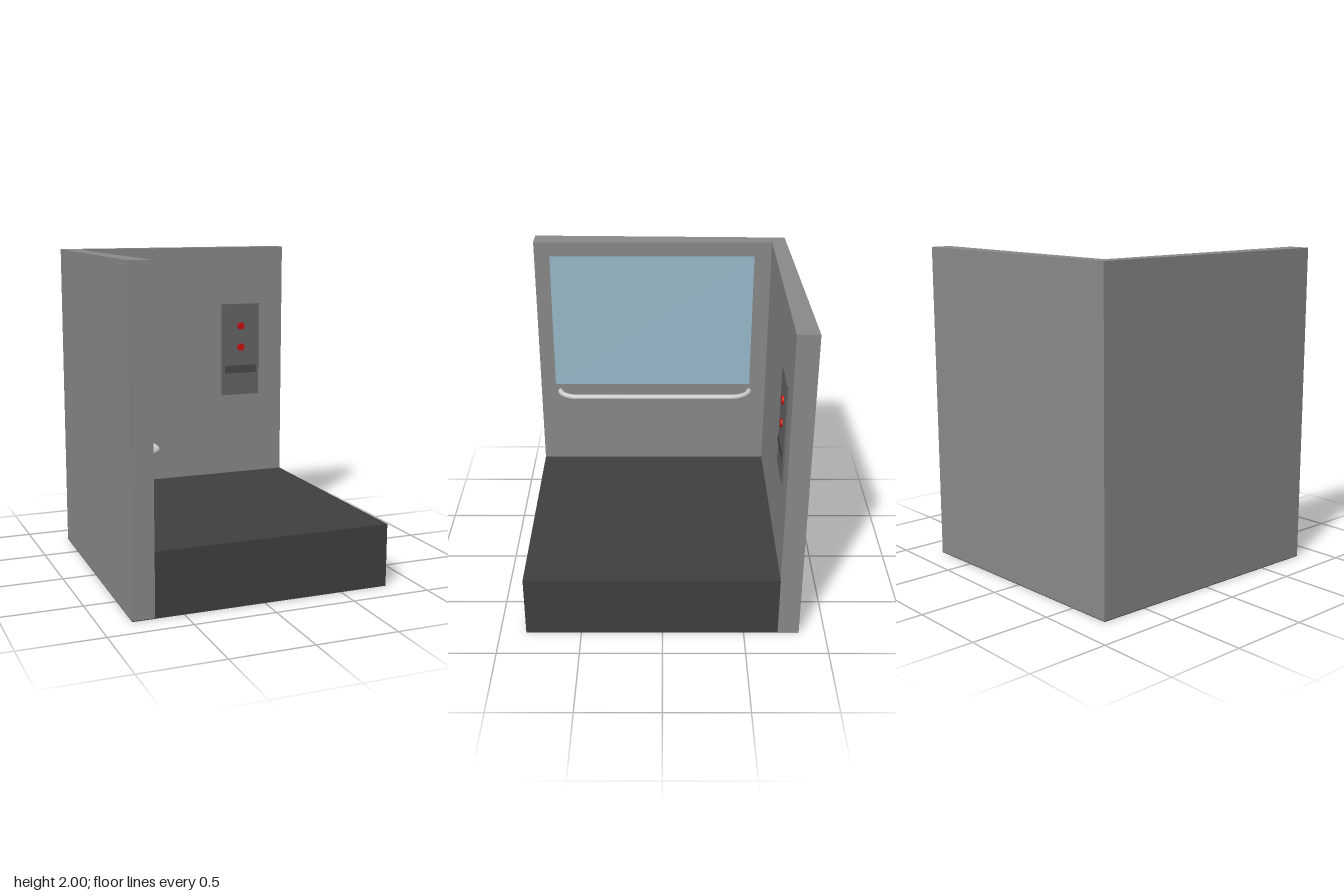
import * as THREE from 'three';

const material = (color) => new THREE.MeshStandardMaterial({ color });

export function createModel() {
  const model = new THREE.Group();
  const add = (name, geometry, color, x = 0, y = 0, z = 0) => {
    const mesh = new THREE.Mesh(geometry, material(color));
    mesh.name = name;
    mesh.position.set(x, y, z);
    model.add(mesh);
    return mesh;
  };

  // Extrude a floor plan of [x, z] points upwards
  const plan = (points, height) => {
    const shape = new THREE.Shape(points.map(([x, z]) => new THREE.Vector2(x, -z)));
    return new THREE.ExtrudeGeometry(shape, { depth: height, bevelEnabled: false }).rotateX(-Math.PI / 2);
  };

  // Two walls meeting in a corner, with slightly slanted outer faces
  const outer = [[-0.81, 0.84], [-0.77, -0.8], [0.805, -0.84]];
  add('walls', plan([...outer, [0.805, -0.71], [-0.675, -0.71], [-0.675, 0.84]], 1.996), 0x8a8a8a, 0, 0.004);

  // Thick floor block and the base plate under floor and walls
  add('floor', new THREE.BoxGeometry(1.48, 0.388, 1.55), 0x404040, 0.065, 0.198, 0.065);
  add('basePlate', plan([...outer, [0.805, 0.84]], 0.004), 0x404040);

  // Window pane on the side wall
  add('window', new THREE.BoxGeometry(0.004, 0.93, 1.34), 0x99bbcc, -0.674, 1.44, 0.07);

  // Handrail: a straight bar with ends curving into the wall
  const rail = new THREE.CurvePath();
  const v = (x, z) => new THREE.Vector3(x, 0.922, z);
  const wallX = -0.685, barX = -0.577;
  rail.add(new THREE.CubicBezierCurve3(v(wallX, -0.6), v(-0.625, -0.6), v(barX, -0.54), v(barX, -0.47)));
  rail.add(new THREE.LineCurve3(v(barX, -0.47), v(barX, 0.58)));
  rail.add(new THREE.CubicBezierCurve3(v(barX, 0.58), v(barX, 0.65), v(-0.625, 0.71), v(wallX, 0.71)));
  add('handrail', new THREE.TubeGeometry(rail, 96, 0.018, 16), 0xcccccc);

  // Control panel on the back wall
  add('controlPanel', new THREE.BoxGeometry(0.28, 0.645, 0.012), 0x666666, 0.485, 1.283, -0.706);
  for (const y of [1.45, 1.3]) {
    const button = new THREE.CylinderGeometry(0.026, 0.026, 0.014, 24).rotateX(Math.PI / 2);
    add('button', button, 0xcc1111, 0.487, y, -0.695);
  }
  add('panelSlot', new THREE.BoxGeometry(0.23, 0.055, 0.008), 0x4a4a4a, 0.485, 1.143, -0.697);

  return model;
}
